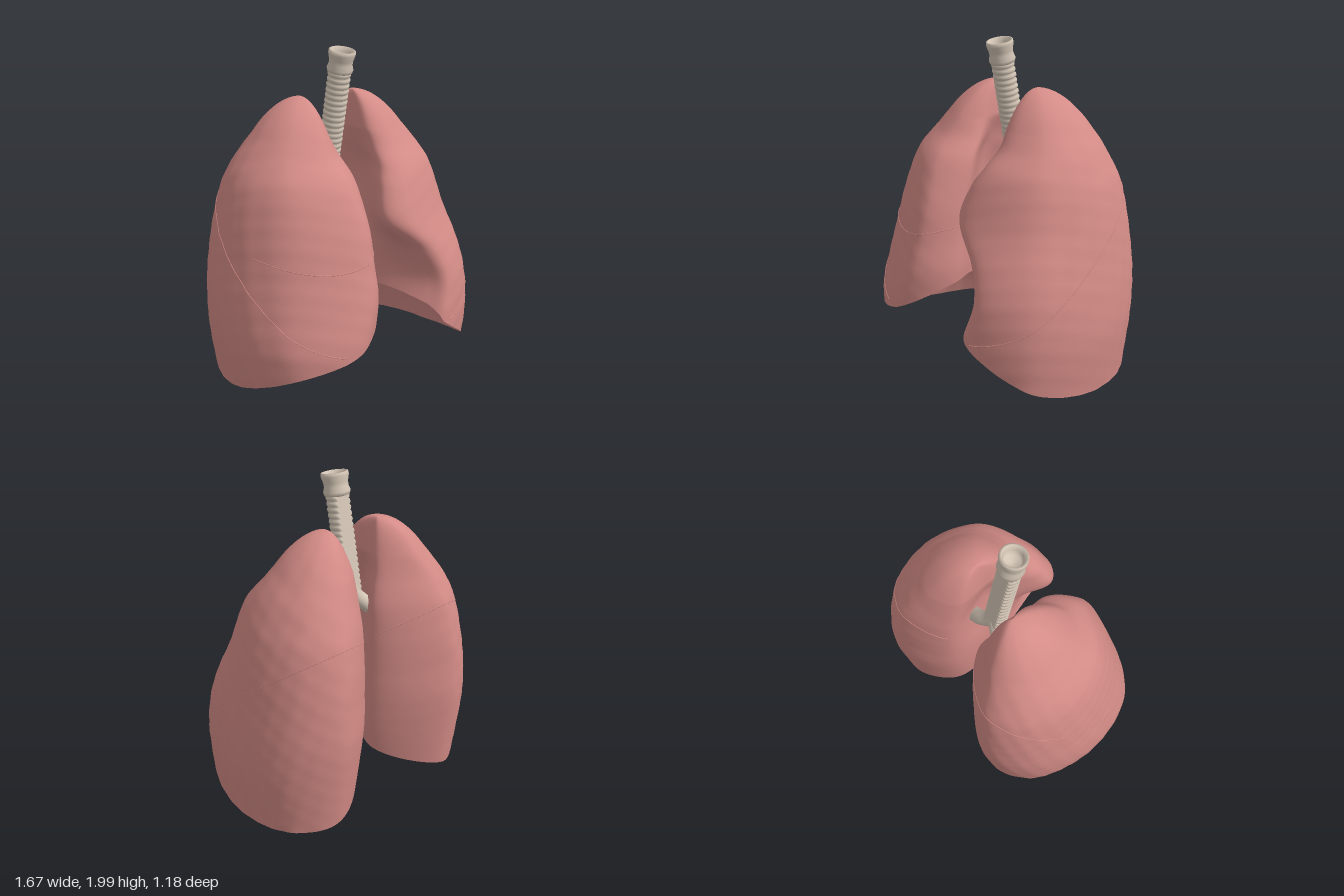
import * as THREE from 'three';

const mat = (name, color) => Object.assign(new THREE.MeshStandardMaterial({ color }), { name });
const tissue = mat('lungTissue', 0xd38b86);
const cartilage = mat('cartilage', 0xd3c5b5);

const AROUND = 144, UP = 80, INWARD = 20;

// Each section row: y, lateral x, medial x at front / middle / back, front z, back z, x of front edge, x of back edge.
// Rim heights run front, front-side, side, back-side, back, medial back, medial middle, medial front.
// Depths place the medial back / middle / front points between the back (0) and front (1) edges.
const LEFT = {
  side: 1, apex: [0.18, 1.715, -0.12], dome: [0.45, 0.5, 0], depths: [0.18, 0.56, 0.92],
  rim: [0.36, 0.115, 0.012, 0.01, 0.05, 0.19, 0.5, 0.46],
  rows: [
    [0.0, 0.80, 0.26, 0.14, 0.17, 0.55, -0.53, 0.36, 0.45],
    [0.35, 0.83, 0.26, 0.14, 0.14, 0.585, -0.57, 0.34, 0.45],
    [0.6, 0.81, 0.32, 0.15, 0.13, 0.55, -0.59, 0.40, 0.45],
    [0.8, 0.775, 0.23, 0.15, 0.13, 0.50, -0.58, 0.34, 0.45],
    [1.0, 0.735, 0.06, 0.17, 0.13, 0.44, -0.56, 0.17, 0.43],
    [1.2, 0.68, 0.09, 0.19, 0.13, 0.36, -0.52, 0.19, 0.40],
    [1.3, 0.635, 0.14, 0.18, 0.13, 0.30, -0.48, 0.24, 0.37],
    [1.4, 0.58, 0.16, 0.15, 0.13, 0.20, -0.43, 0.27, 0.34],
    [1.5, 0.50, 0.15, 0.13, 0.13, 0.13, -0.38, 0.25, 0.30]],
  fissures: [[0.02, 0.62, (x, z) => 0.8 - 0.75 * z]],
};
const RIGHT = {
  side: -1, apex: [0.19, 1.71, -0.15], dome: [0.43, 0.5, 0], depths: [0.27, 0.55, 0.82],
  rim: [0.35, 0.22, 0.06, 0.03, 0.04, 0.2, 0.48, 0.53],
  rows: [
    [0.0, 0.79, 0.06, 0.15, 0.10, 0.55, -0.53, 0.35, 0.45],
    [0.35, 0.835, 0.06, 0.15, 0.05, 0.585, -0.57, 0.30, 0.45],
    [0.6, 0.82, 0.03, 0.15, 0.04, 0.55, -0.59, 0.20, 0.45],
    [0.8, 0.785, 0.04, 0.17, 0.04, 0.50, -0.58, 0.18, 0.45],
    [1.0, 0.745, 0.045, 0.19, 0.04, 0.45, -0.56, 0.17, 0.43],
    [1.2, 0.69, 0.055, 0.19, 0.05, 0.37, -0.52, 0.20, 0.40],
    [1.3, 0.645, 0.07, 0.18, 0.07, 0.31, -0.48, 0.22, 0.37],
    [1.4, 0.575, 0.10, 0.16, 0.10, 0.21, -0.43, 0.25, 0.34],
    [1.5, 0.495, 0.13, 0.13, 0.12, 0.14, -0.38, 0.23, 0.29]],
  fissures: [
    [0.04, 0.62, (x, z) => 0.8 - 0.78 * z],
    [-0.1, 0.2, (x) => 0.82 + 0.6 * (x - 0.38) ** 2]],
};

// Smooth interpolation of the section rows at height y
function rowAt(rows, y) {
  const n = rows.length - 1;
  let i = 0;
  while (i < n - 1 && y > rows[i + 1][0]) i++;
  const a = rows[i], b = rows[i + 1], h = b[0] - a[0];
  const s = THREE.MathUtils.clamp((y - a[0]) / h, 0, 1);
  const slope = (k, c) => {
    const p = rows[Math.max(k - 1, 0)], q = rows[Math.min(k + 1, n)];
    return (q[c] - p[c]) / (q[0] - p[0]);
  };
  return a.map((v, c) => {
    const s2 = s * s, s3 = s2 * s;
    return v * (2 * s3 - 3 * s2 + 1) + b[c] * (3 * s2 - 2 * s3)
      + h * (slope(i, c) * (s3 - 2 * s2 + s) + slope(i + 1, c) * (s3 - s2));
  });
}

// Point on the lung wall: t runs around from the front edge, y is the height
function wallPoint(lung, t, y) {
  const [, xL, xMF, xMM, xMB, zF, zB, xF, xB] = rowAt(lung.rows, y);
  const d = zF - zB, zL = zB + d * 0.5, k = 0.72;
  const [back, middle, front] = lung.depths;
  const outline = [
    [xF, zF], [xF + (xL - xF) * k, zL + (zF - zL) * k], [xL, zL],
    [xB + (xL - xB) * k, zL + (zB - zL) * k], [xB, zB],
    [xMB, zB + d * back], [xMM, zB + d * middle], [xMF, zB + d * front],
  ].map(([x, z]) => new THREE.Vector3(x, 0, z));
  const p = new THREE.CatmullRomCurve3(outline, true).getPoint(((t % 1) + 1) % 1);
  // gently uneven surface
  const bump = 1 + 0.003 * Math.sin(31 * y + 14 * p.z) * Math.sin(34 * p.z - 15 * y + 22 * p.x);
  p.x *= bump;
  p.z *= bump;
  // rounded apex above the last section
  const last = lung.rows[lung.rows.length - 1][0], [ax, top, az] = lung.apex;
  if (y > last) {
    const f = Math.sqrt(Math.max(0, 1 - (y - last) / (top - last)));
    p.x = ax + (p.x - ax) * f;
    p.z = az + (p.z - az) * f;
  }
  p.y = y;
  return p;
}

// Closed rings joined into a skin; flip reverses the facing
function skin(rings, side, flip) {
  const pos = [], idx = [], n = AROUND;
  rings.forEach((r) => r.forEach((p) => pos.push(p.x * side, p.y, p.z)));
  for (let k = 0; k < rings.length - 1; k++) {
    for (let i = 0; i < n; i++) {
      const a = k * n + i, b = k * n + (i + 1) % n, c = b + n, d = a + n;
      if (flip) idx.push(a, c, b, a, d, c);
      else idx.push(a, b, c, a, c, d);
    }
  }
  const g = new THREE.BufferGeometry();
  g.setAttribute('position', new THREE.Float32BufferAttribute(pos, 3));
  g.setIndex(idx);
  g.computeVertexNormals();
  return g;
}

function addMesh(group, name, geometry, material) {
  const m = new THREE.Mesh(geometry, material);
  m.name = name;
  group.add(m);
}

function makeLung(lung, name) {
  const g = new THREE.Group();
  g.name = name;
  const { side } = lung, top = lung.apex[1];
  const rimCurve = new THREE.CatmullRomCurve3(
    lung.rim.map((y, i) => new THREE.Vector3(i * 0.001, y, 0)), true, 'catmullrom', 0.5);
  const ts = Array.from({ length: AROUND }, (_, i) => i / AROUND);
  const rimY = ts.map((t) => Math.max(0.004, rimCurve.getPoint(t).y));

  // outer wall, from lower rim to apex
  const wall = [];
  for (let k = 0; k <= UP; k++) {
    const s = 1 - (1 - k / UP) ** 2;
    wall.push(ts.map((t, i) => wallPoint(lung, t, rimY[i] + (top - rimY[i]) * s)));
  }
  addMesh(g, 'lungWall', skin(wall, side, side < 0), tissue);

  // hollow, domed base
  const centre = new THREE.Vector3(...lung.dome), base = [];
  for (let k = 0; k <= INWARD; k++) {
    const f = k / INWARD;
    base.push(wall[0].map((p) => {
      const q = p.clone().lerp(centre, f);
      q.y = p.y + (centre.y - p.y) * (1 - (1 - f) ** 2.2);
      return q;
    }));
  }
  addMesh(g, 'lungBase', skin(base, side, side > 0), tissue);

  // fine seams between the lobes
  for (const [t0, t1, height] of lung.fissures) {
    const pts = [];
    for (let i = 0; i <= 60; i++) {
      const t = t0 + (t1 - t0) * i / 60;
      let p = wallPoint(lung, t, 0.8);
      for (let j = 0; j < 12; j++) p = wallPoint(lung, t, height(p.x, p.z));
      pts.push(new THREE.Vector3(p.x * side, p.y, p.z));
    }
    addMesh(g, 'fissure', new THREE.TubeGeometry(new THREE.CatmullRomCurve3(pts), 180, 0.003, 5), tissue);
  }
  return g;
}

function makeAirway() {
  const g = new THREE.Group();
  g.name = 'airway';
  const lathe = (pts) => new THREE.LatheGeometry(pts.map(([r, y]) => new THREE.Vector2(r, y)), 36);

  // ringed windpipe with a flat back, leaning forward
  const pipe = new THREE.Group();
  pipe.name = 'windpipe';
  pipe.position.set(0, 1.25, -0.135);
  pipe.rotation.x = 0.2;
  const rings = 18, step = 0.62 / rings, profile = [];
  for (let i = 0; i < rings; i++) {
    profile.push([0.061, i * step], [0.068, (i + 0.2) * step], [0.07, (i + 0.5) * step], [0.068, (i + 0.8) * step]);
  }
  profile.push([0.061, 0.62]);
  const tube = lathe(profile), p = tube.attributes.position;
  for (let i = 0; i < p.count; i++) p.setZ(i, Math.max(p.getZ(i), -0.045));
  tube.computeVertexNormals();
  addMesh(pipe, 'windpipeRings', tube, cartilage);
  addMesh(pipe, 'collar', lathe([[0.058, 0.61], [0.074, 0.615], [0.079, 0.635], [0.07, 0.665], [0.072, 0.69],
    [0.081, 0.725], [0.079, 0.745], [0.068, 0.747], [0.055, 0.72], [0.048, 0.68], [0, 0.675]]), cartilage);
  g.add(pipe);

  // two branches entering the lungs
  for (const s of [1, -1]) {
    const path = new THREE.CatmullRomCurve3([[0, 1.31, -0.125], [0.03, 1.255, -0.14], [0.1, 1.18, -0.165], [0.24, 1.06, -0.17]]
      .map(([x, y, z]) => new THREE.Vector3(x * s, y, z)));
    addMesh(g, s > 0 ? 'leftBronchus' : 'rightBronchus', new THREE.TubeGeometry(path, 24, 0.046, 20), cartilage);
  }
  return g;
}

export function createModel() {
  const model = new THREE.Group();
  model.name = 'lungs';
  model.add(makeLung(LEFT, 'leftLung'), makeLung(RIGHT, 'rightLung'), makeAirway());
  return model;
}
